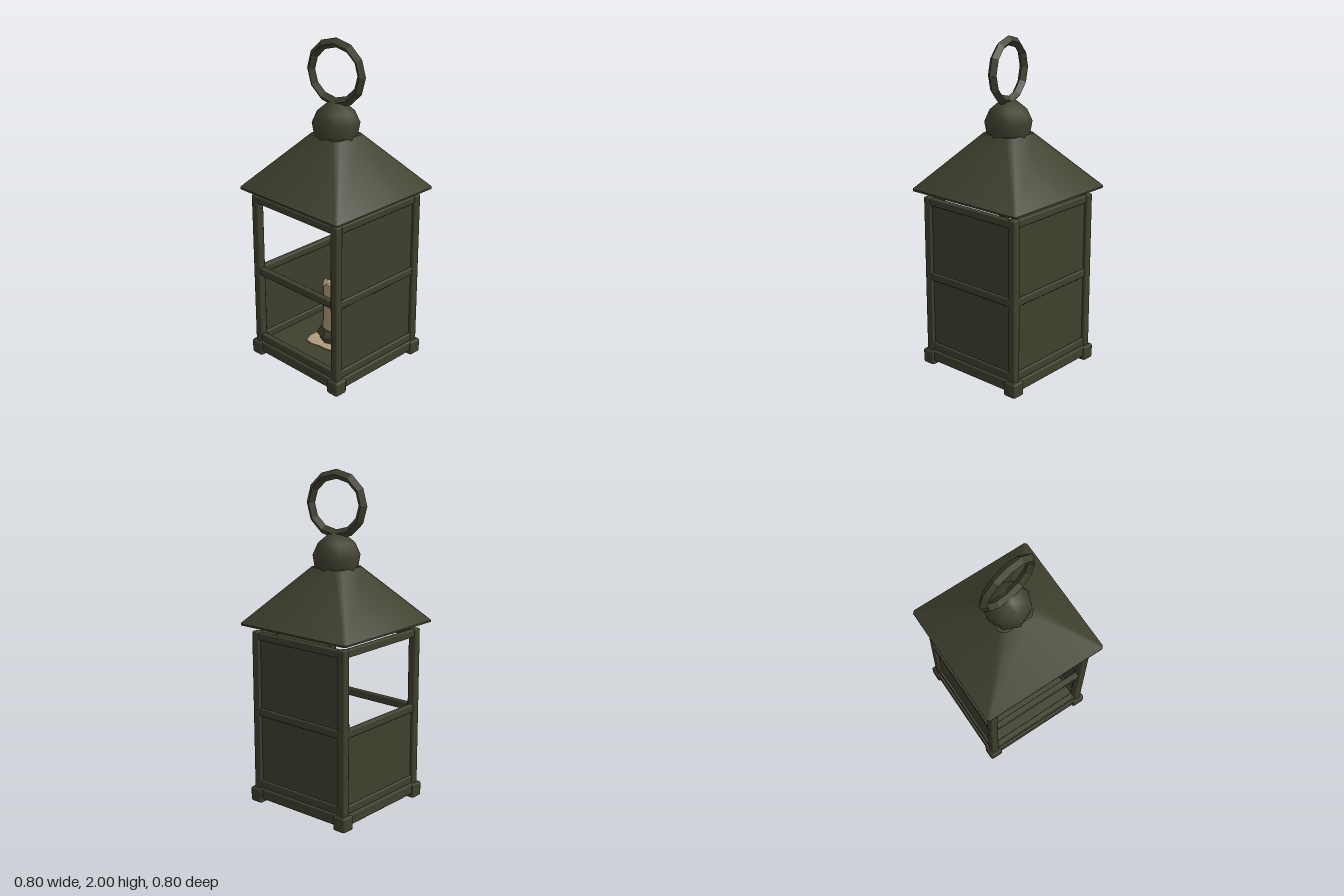
import * as THREE from 'three';
import { toCreasedNormals } from 'three/addons/utils/BufferGeometryUtils.js';
import { RoundedBoxGeometry } from 'three/addons/geometries/RoundedBoxGeometry.js';

// Closed loft through square cross-sections [halfWidth, y, cornerCut]
function squareLoft(sections) {
  const pos = [], index = [];
  for (const [h, y, c] of sections) {
    const k = h - c;
    for (const [x, z] of [[k, h], [h, k], [h, -k], [k, -h], [-k, -h], [-h, -k], [-h, k], [-k, h]]) pos.push(x, y, z);
  }
  const last = (sections.length - 1) * 8;
  for (let s = 0; s < last; s += 8) {
    for (let i = 0; i < 8; i++) {
      const j = (i + 1) % 8;
      index.push(s + i, s + j, s + 8 + j, s + i, s + 8 + j, s + 8 + i);
    }
  }
  for (let i = 1; i < 7; i++) {
    index.push(0, i + 1, i);
    index.push(last, last + i, last + i + 1);
  }
  const g = new THREE.BufferGeometry();
  g.setAttribute('position', new THREE.Float32BufferAttribute(pos, 3));
  g.setIndex(index);
  return toCreasedNormals(g, 0.65);
}

export function createModel() {
  const lantern = new THREE.Group();
  lantern.name = 'lantern';
  const metal = new THREE.MeshStandardMaterial({ color: 0x40402f });
  metal.name = 'dark olive metal';
  const wax = new THREE.MeshStandardMaterial({ color: 0xb09c7c });
  wax.name = 'wax';
  const wickMat = new THREE.MeshStandardMaterial({ color: 0x1e1c17 });
  wickMat.name = 'burnt wick';

  const add = (name, geometry, material, x = 0, y = 0, z = 0, parent = lantern) => {
    const m = new THREE.Mesh(geometry, material);
    m.name = name;
    m.position.set(x, y, z);
    parent.add(m);
    return m;
  };
  const bevelBox = (w, h, d, r = 0.007) => new RoundedBoxGeometry(w, h, d, 1, r);

  // Base slab, corner feet and posts
  add('base', bevelBox(0.72, 0.065, 0.72), metal, 0, 0.0605, 0);
  for (const sx of [-1, 1]) {
    for (const sz of [-1, 1]) {
      add('foot', bevelBox(0.085, 0.09, 0.085, 0.012), metal, sx * 0.328, 0.045, sz * 0.328);
      add('post', bevelBox(0.05, 0.98, 0.05, 0.008), metal, sx * 0.327, 0.575, sz * 0.327);
    }
  }

  // Four sides: front open, left and back glazed fully, right only below
  const sides = [
    { name: 'front', angle: 0, lower: false, upper: false },
    { name: 'left', angle: Math.PI / 2, lower: true, upper: true },
    { name: 'back', angle: Math.PI, lower: true, upper: true },
    { name: 'right', angle: -Math.PI / 2, lower: true, upper: false },
  ];
  for (const s of sides) {
    const side = new THREE.Group();
    side.name = s.name + 'Side';
    side.rotation.y = s.angle;
    lantern.add(side);
    for (const [name, y, h] of [['bottomRail', 0.115, 0.05], ['middleRail', 0.572, 0.048], ['topRail', 1.038, 0.045]]) {
      add(name, bevelBox(0.62, h, 0.036), metal, 0, y, 0.328, side);
    }
    if (s.lower) add('lowerPanel', new THREE.BoxGeometry(0.62, 0.43, 0.01), metal, 0, 0.345, 0.327, side);
    if (s.upper) add('upperPanel', new THREE.BoxGeometry(0.62, 0.45, 0.01), metal, 0, 0.805, 0.327, side);
  }

  // Roof
  add('roof', squareLoft([[0.402, 1.102, 0.014], [0.402, 1.112, 0.014], [0.115, 1.44, 0.03]]), metal);

  // Eight-sided finial ball
  const ball = [[0.11, 1.38], [0.125, 1.43], [0.139, 1.51], [0.108, 1.58], [0.05, 1.628], [0, 1.638]]
    .map(([x, y]) => new THREE.Vector2(x, y));
  add('finialBall', new THREE.LatheGeometry(ball, 8), metal);

  // Faceted carrying ring, slightly turned
  const ringGeo = new THREE.TorusGeometry(0.172, 0.028, 4, 12).toNonIndexed();
  ringGeo.computeVertexNormals();
  add('carryingRing', ringGeo, metal, 0, 1.8, 0).rotation.y = 0.175;

  // Candle dish
  const dish = new THREE.CylinderGeometry(0.095, 0.12, 0.045, 8).toNonIndexed();
  dish.computeVertexNormals();
  add('candleDish', dish, metal, 0, 0.16, 0);
  add('dishStem', new THREE.CylinderGeometry(0.1, 0.1, 0.05, 8), metal, 0, 0.115, 0);

  // Spilled wax with a wavy edge
  const puddle = new THREE.Shape();
  for (let i = 0; i < 20; i++) {
    const a = i / 20 * Math.PI * 2, r = 0.16 + 0.015 * Math.sin(a * 5) + 0.01 * Math.cos(a * 3);
    if (i) puddle.lineTo(r * Math.cos(a), r * Math.sin(a));
    else puddle.moveTo(r, 0);
  }
  const puddleGeo = new THREE.ExtrudeGeometry(puddle, { depth: 0.008, bevelEnabled: false });
  puddleGeo.rotateX(-Math.PI / 2);
  add('waxPuddle', puddleGeo, wax, 0, 0.092, 0);

  // Candle with a hollow, uneven melted rim
  const profile = [[0.084, 0.17], [0.081, 0.3], [0.081, 0.48], [0.062, 0.48], [0.05, 0.44], [0, 0.435]]
    .map(([x, y]) => new THREE.Vector2(x, y));
  const candle = new THREE.LatheGeometry(profile, 14);
  const p = candle.attributes.position;
  for (let i = 0; i < p.count; i++) {
    if (p.getY(i) > 0.47) {
      const a = Math.atan2(p.getX(i), p.getZ(i));
      p.setY(i, 0.478 + 0.018 * Math.sin(a * 4 + 1) + 0.008 * Math.cos(a * 2));
    }
  }
  add('candle', toCreasedNormals(candle, 0.7), wax);
  add('wick', new THREE.CylinderGeometry(0.006, 0.008, 0.06, 6), wickMat, 0, 0.46, 0);

  return lantern;
}
